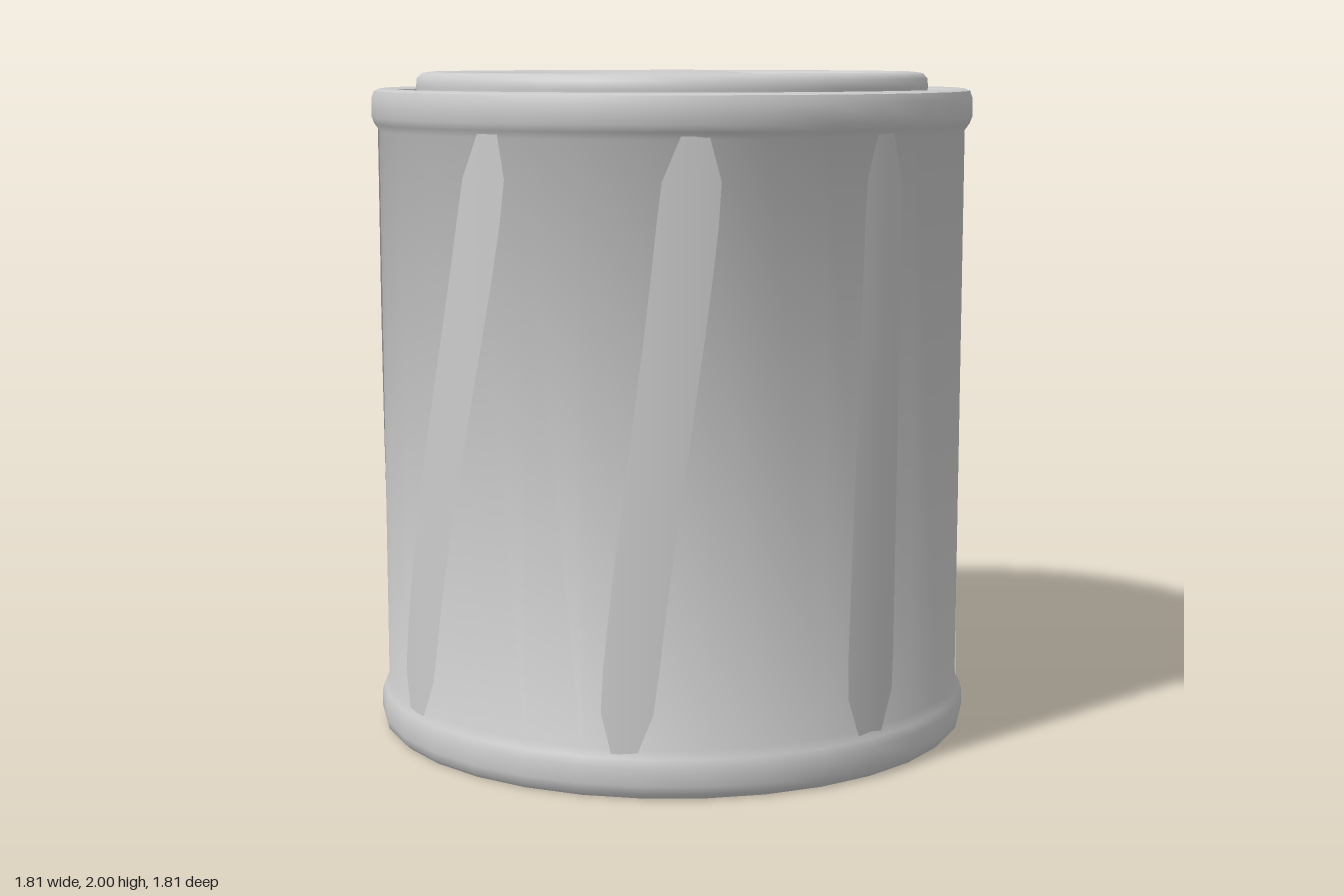
import * as THREE from 'three';
import { toCreasedNormals } from 'three/addons/utils/BufferGeometryUtils.js';

const SIDES = 32;
const grey = new THREE.MeshStandardMaterial({ color: 0xcccccc });
const thin = new THREE.MeshStandardMaterial({ color: 0xcccccc, side: THREE.DoubleSide });

function lathe(name, profile) {
  const points = profile.map(([r, y]) => new THREE.Vector2(r, y));
  const geometry = toCreasedNormals(new THREE.LatheGeometry(points, SIDES), 0.75);
  const mesh = new THREE.Mesh(geometry, grey);
  mesh.name = name;
  return mesh;
}

// Shallow slanted streak wrapped on the wall, with blunt tapered ends; angles in degrees from the front
function streak(bottomAngle, topAngle, bottomWidth, topWidth, top = 1.83) {
  const R = 0.888, BOTTOM = 0.12, COLS = 5, ROWS = 14;
  const geometry = new THREE.PlaneGeometry(1, 1, COLS, ROWS);
  const { position, normal, uv } = geometry.attributes;
  for (let i = 0; i < position.count; i++) {
    const t = uv.getY(i);
    const y = THREE.MathUtils.lerp(BOTTOM, top, t);
    const taper = Math.min(1, 0.45 + 7 * Math.min(t, 1 - t));
    const width = THREE.MathUtils.lerp(bottomWidth, topWidth, t) * taper;
    const slant = THREE.MathUtils.smoothstep(t, -0.2, 1.2);
    const centre = THREE.MathUtils.mapLinear(slant, 0.08, 0.92, bottomAngle, topAngle);
    const a = THREE.MathUtils.degToRad(centre + (uv.getX(i) - 0.5) * width);
    position.setXYZ(i, R * Math.sin(a), y, R * Math.cos(a));
    normal.setXYZ(i, Math.sin(a), 0, Math.cos(a));
  }
  const mesh = new THREE.Mesh(geometry, thin);
  mesh.name = 'streak';
  return mesh;
}

export function createModel() {
  const model = new THREE.Group();
  model.name = 'can';

  // Wall with a rolled bead at each end and the groove around the lid
  model.add(lathe('canBody', [
    [0, 0], [0.885, 0], [0.9, 0.015], [0.906, 0.04], [0.906, 0.09], [0.898, 0.115], [0.884, 0.14],
    [0.884, 1.82], [0.898, 1.84], [0.906, 1.86], [0.906, 1.915], [0.898, 1.938], [0.88, 1.945],
    [0.855, 1.938], [0.845, 1.92], [0.84, 1.89], [0.75, 1.89],
  ]));

  // Pressed lid: rounded ring, short inner wall and domed panel
  const lid = [[0.765, 1.88], [0.772, 1.95], [0.77, 1.975], [0.755, 1.99], [0.73, 1.994],
    [0.7, 1.99], [0.675, 1.975], [0.66, 1.95], [0.645, 1.92]];
  for (let i = 1; i <= 8; i++) {
    const r = 0.645 * (1 - i / 8);
    lid.push([r, 1.92 + 0.08 * (1 - (r / 0.645) ** 2)]);
  }
  model.add(lathe('lid', lid));

  // Streaks that zigzag around the wall
  const streaks = new THREE.Group();
  streaks.name = 'streaks';
  streaks.add(
    // front and front left
    streak(-7, 15, 12, 10),
    streak(42, 54, 10, 11),
    // left side, and a short sliver behind it
    streak(90, 92, 12, 9),
    streak(136, 142, 6, 1, 0.45),
    // back, meeting in points
    streak(201, 167, 12, 18),
    streak(203, 226, 10, 13),
    streak(246, 226, 12, 13),
    // right side
    streak(248, 273, 10, 11),
    streak(288, 273, 8, 11),
    // front right
    streak(289, 306, 6, 11),
    streak(312, 305, 10, 11),
    streak(314, 324, 9, 12),
  );
  model.add(streaks);

  return model;
}
